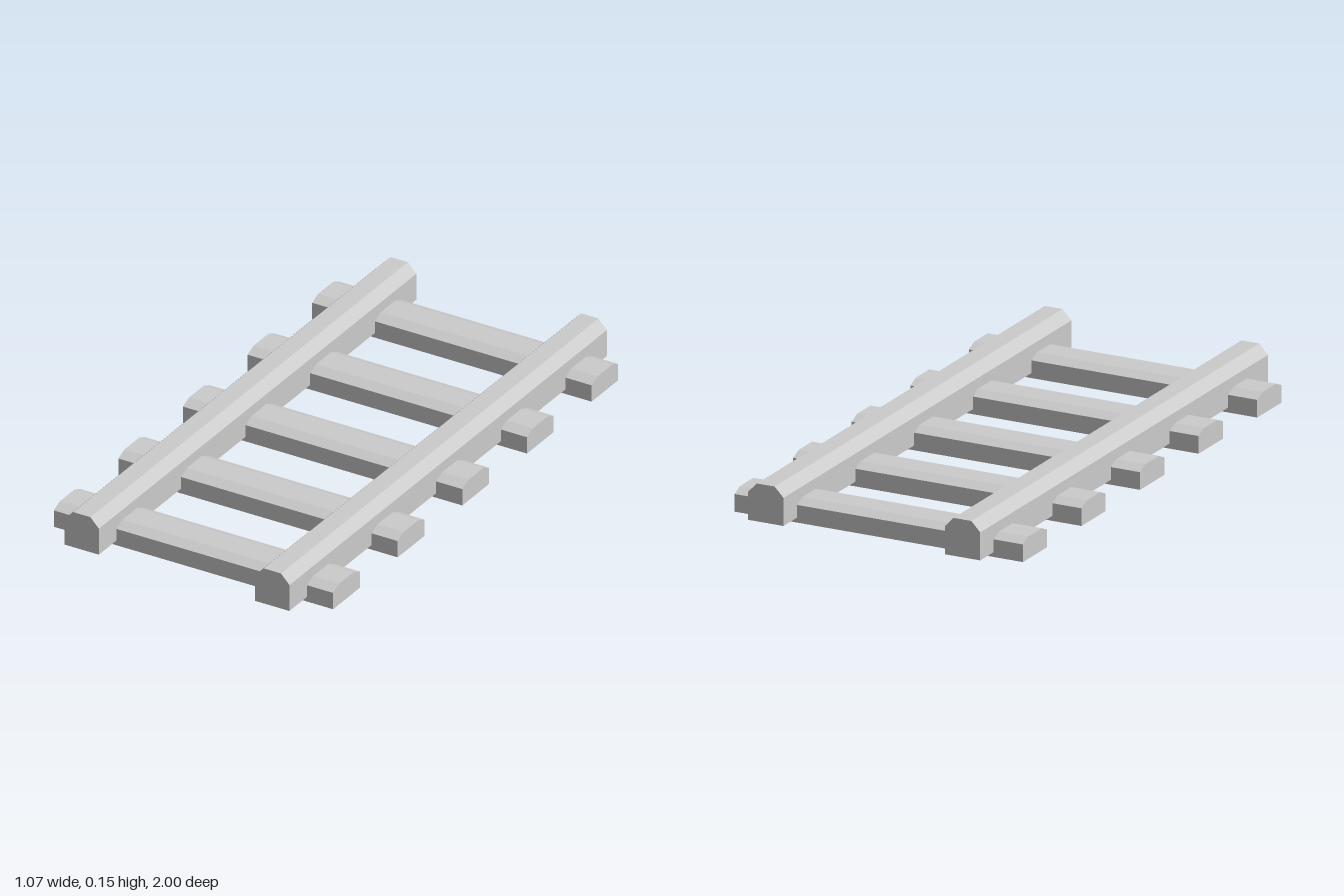
import * as THREE from 'three';

const material = new THREE.MeshStandardMaterial({ color: 0xcccccc, flatShading: true });

// Bar with two chamfered top edges, extruded along z and centred on its length
function chamferedBar(halfWidth, halfTop, bottom, shoulder, top, length) {
  const profile = new THREE.Shape([
    [-halfWidth, bottom], [halfWidth, bottom], [halfWidth, shoulder],
    [halfTop, top], [-halfTop, top], [-halfWidth, shoulder],
  ].map(([x, y]) => new THREE.Vector2(x, y)));
  return new THREE.ExtrudeGeometry(profile, { depth: length, bevelEnabled: false })
    .translate(0, 0, -length / 2);
}

export function createModel() {
  const track = new THREE.Group();
  track.name = 'railTrack';

  // Two long rails
  const railGeometry = chamferedBar(0.0655, 0.033, 0.017, 0.114, 0.148, 2);
  for (const [name, x] of [['rightRail', -0.36], ['leftRail', 0.368]]) {
    const rail = new THREE.Mesh(railGeometry, material);
    rail.name = name;
    rail.position.x = x;
    track.add(rail);
  }

  // Five evenly spaced sleepers lying across the rails
  const sleeperGeometry = chamferedBar(0.084, 0.047, 0, 0.061, 0.077, 1.067).rotateY(Math.PI / 2);
  for (let i = 0; i < 5; i++) {
    const sleeper = new THREE.Mesh(sleeperGeometry, material);
    sleeper.name = `sleeper${i + 1}`;
    sleeper.position.z = -0.008 + (i - 2) * 0.407;
    track.add(sleeper);
  }

  return track;
}
